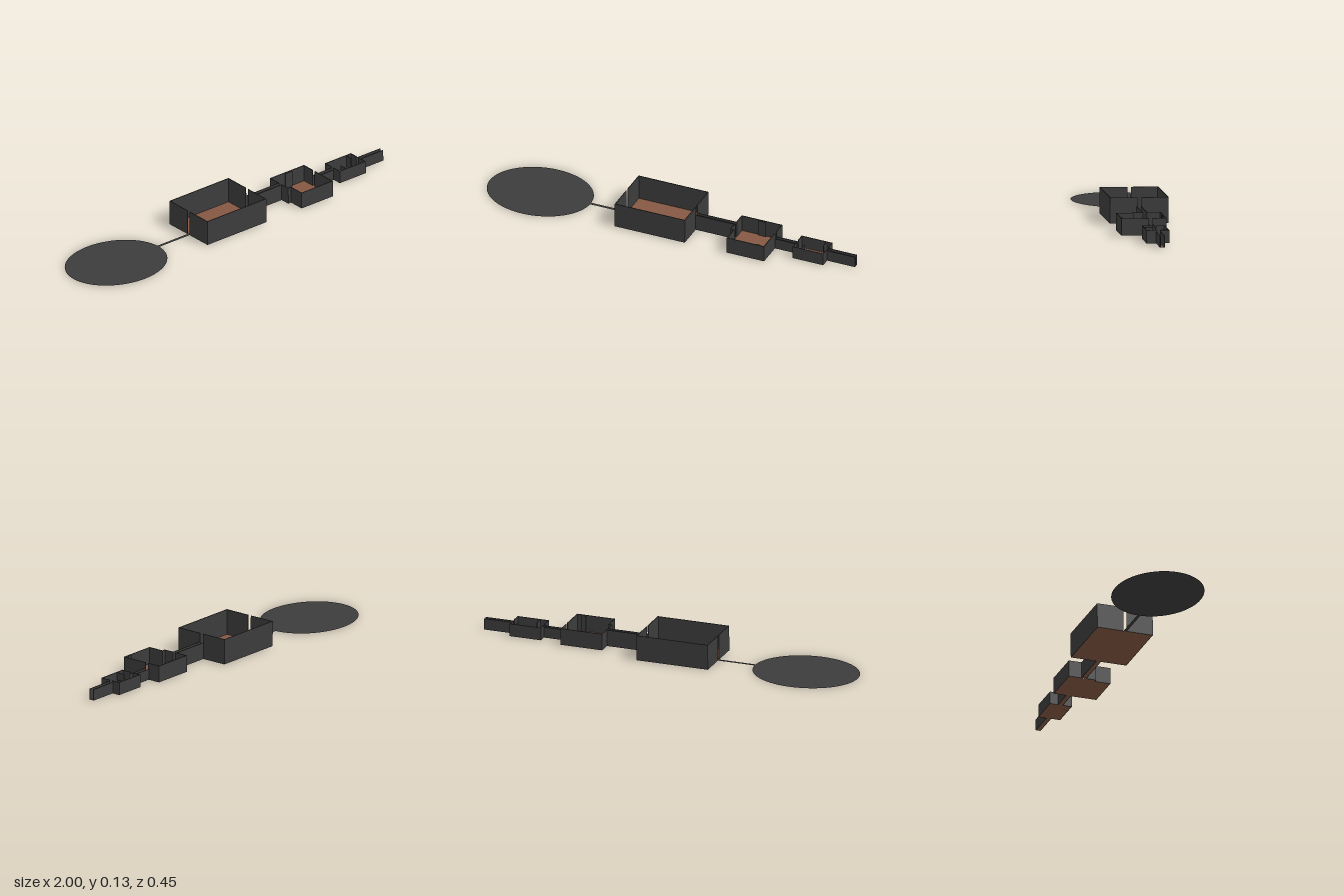
import * as THREE from 'three';

const dark = new THREE.MeshStandardMaterial({ color: 0x3c3c3c, side: THREE.DoubleSide });
const brown = new THREE.MeshStandardMaterial({ color: 0x855844, side: THREE.DoubleSide });
const THICK = 0.004; // wall thickness
const DOOR = 0.009; // half width of doors and corridors

// Upright thin wall between two plan points
function wall(name, [x1, z1], [x2, z2], height) {
  const length = Math.hypot(x2 - x1, z2 - z1);
  const mesh = new THREE.Mesh(new THREE.BoxGeometry(length + THICK, height, THICK), dark);
  mesh.position.set((x1 + x2) / 2, height / 2, (z1 + z2) / 2);
  mesh.rotation.y = -Math.atan2(z2 - z1, x2 - x1);
  mesh.name = name;
  return mesh;
}

// Flat sheet from a plan outline
function sheet(name, points, material) {
  const shape = new THREE.Shape(points.map(([x, z]) => new THREE.Vector2(x, -z)));
  const mesh = new THREE.Mesh(new THREE.ShapeGeometry(shape).rotateX(-Math.PI / 2), material);
  mesh.name = name;
  return mesh;
}

const rect = (x1, x2, z1, z2) => [[x1, z1], [x1, z2], [x2, z2], [x2, z1]];

// Open-topped room; walls crossing the centre line get a full-height door slot
function room(name, outline, height) {
  const group = new THREE.Group();
  group.name = name;
  group.add(sheet('roomFloor', outline, brown));
  outline.forEach((a, i) => {
    const b = outline[(i + 1) % outline.length];
    if (a[1] * b[1] < 0 && a[0] === b[0]) {
      group.add(wall('roomWall', a, [a[0], Math.sign(a[1]) * (DOOR + THICK / 2)], height));
      group.add(wall('roomWall', [b[0], Math.sign(b[1]) * (DOOR + THICK / 2)], b, height));
    } else {
      group.add(wall('roomWall', a, b, height));
    }
  });
  return group;
}

// Narrow passage with a floor and two side walls
function corridor(name, x1, x2, height) {
  const group = new THREE.Group();
  group.name = name;
  group.add(sheet('corridorFloor', rect(x1, x2, -DOOR, DOOR), brown));
  for (const side of [-1, 1]) {
    const z = side * (DOOR + THICK / 2);
    group.add(wall('corridorWall', [x1, z], [x2, z], height));
  }
  return group;
}

export function createModel() {
  const model = new THREE.Group();
  const site = new THREE.Group();
  site.name = 'site';

  // Oval forecourt and entrance path
  const court = new THREE.Mesh(new THREE.CircleGeometry(1, 64).rotateX(-Math.PI / 2), dark);
  court.scale.set(0.275, 1, 0.227);
  court.position.x = -0.725;
  court.name = 'forecourt';
  site.add(court, sheet('entrancePath', rect(-0.455, -0.252, -0.008, 0.008), dark));

  // Large hall
  site.add(room('largeHall', rect(-0.252, 0.127, -0.146, 0.146), 0.131));
  site.add(corridor('firstCorridor', 0.127, 0.34, 0.085));

  // Middle room with a stepped corner and small wall stubs
  const middle = room('middleRoom', [
    [0.342, -0.077], [0.342, 0.063], [0.36, 0.063], [0.36, 0.146], [0.56, 0.146], [0.56, -0.077],
  ], 0.086);
  middle.add(wall('wallStub', [0.435, -0.07], [0.475, -0.07], 0.084));
  middle.add(wall('wallStub', [0.515, 0.139], [0.535, 0.139], 0.084));
  site.add(middle, corridor('secondCorridor', 0.56, 0.68, 0.055));

  // Small room with two partitions
  const small = room('smallRoom', rect(0.68, 0.845, -0.053, 0.059), 0.066);
  small.add(wall('partition', [0.815, -0.053], [0.815, -0.018], 0.064));
  small.add(wall('partition', [0.725, 0.014], [0.725, 0.059], 0.064));
  site.add(small, corridor('lastCorridor', 0.845, 0.998, 0.058));

  // The whole site slopes very slightly towards the back
  site.rotation.x = -0.009;
  site.position.y = 0.002;
  model.add(site);
  return model;
}
